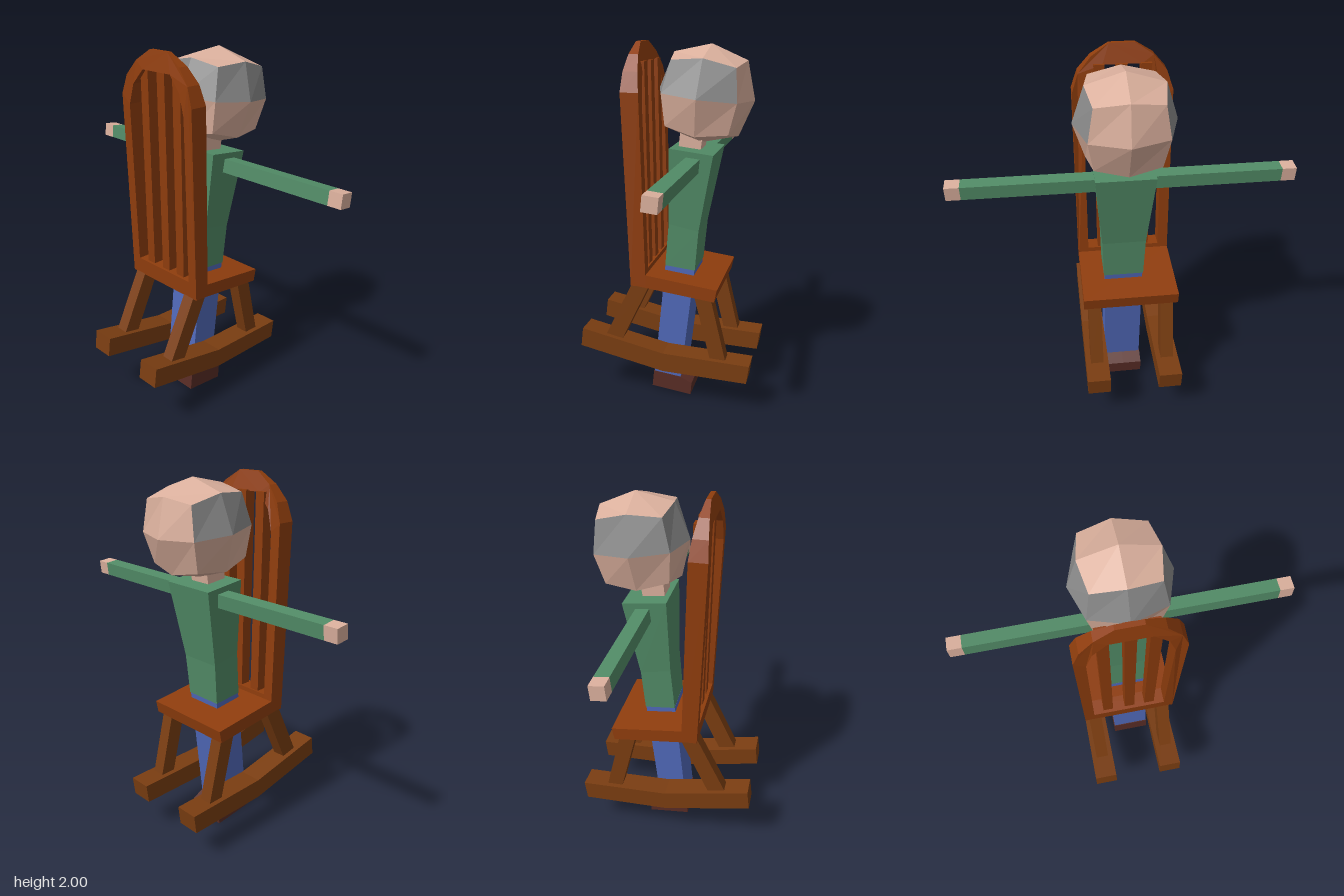
import * as THREE from 'three';

const paint = (name, color) => Object.assign(new THREE.MeshStandardMaterial({ color, flatShading: true }), { name });

export function createModel() {
  const wood = paint('chair wood', 0x8f3d0d);
  const darkWood = paint('leg wood', 0x7a3d11);
  const green = paint('shirt green', 0x528c67);
  const blue = paint('trouser blue', 0x5068b8);
  const leather = paint('shoe brown', 0x582c25);
  const skin = paint('skin', 0xdbb09d);
  const grey = paint('hair grey', 0x8a8a8a);

  const model = new THREE.Group();
  model.name = 'figureWithRockingChair';
  const chair = new THREE.Group();
  chair.name = 'rockingChair';
  const figure = new THREE.Group();
  figure.name = 'figure';
  model.add(chair, figure);

  const add = (parent, name, geometry, material) => {
    const mesh = new THREE.Mesh(geometry, material);
    mesh.name = name;
    parent.add(mesh);
    return mesh;
  };
  // Side profile given as [z, y] points, stretched from x0 to x1
  const slab = (parent, name, profile, x0, x1, material) => {
    const shape = new THREE.Shape(profile.map(([z, y]) => new THREE.Vector2(-z, y)));
    const g = new THREE.ExtrudeGeometry(shape, { depth: x1 - x0, bevelEnabled: false });
    return add(parent, name, g.rotateY(Math.PI / 2).translate(x0, 0, 0), material);
  };

  // ---- Chair ----
  const cx = -0.027; // chair centre line
  slab(chair, 'seat', [[0.18, 0.72], [-0.286, 0.67], [-0.3, 0.74], [0.1, 0.785], [0.175, 0.79]], cx - 0.262, cx + 0.262, wood);

  // Arched back frame: outline with one opening
  const arch = (half) => [...half, ...half.map(([x, y]) => [-x, y]).reverse()].map(([x, y]) => new THREE.Vector2(x + cx, y));
  const frame = new THREE.Shape(arch([[0.262, 0.716], [0.262, 1.76], [0.228, 1.86], [0.16, 1.94], [0.066, 2]]));
  frame.holes.push(new THREE.Path(arch([[0.205, 0.81], [0.205, 1.71], [0.173, 1.82], [0.102, 1.9]])));
  const back = new THREE.ExtrudeGeometry(frame, { depth: 1, bevelEnabled: false });
  // Lean the frame backwards and thin it towards the top
  const p = back.attributes.position;
  const heights = [0.716, 1.76, 1.9, 2];
  const nearZ = [0.094, 0.12, 0.137, 0.165];
  const farZ = [0.18, 0.217, 0.208, 0.19];
  for (let i = 0; i < p.count; i++) {
    const y = p.getY(i);
    const k = y <= heights[1] ? 0 : y <= heights[2] ? 1 : 2;
    const t = (y - heights[k]) / (heights[k + 1] - heights[k]);
    const a = THREE.MathUtils.lerp(nearZ[k], nearZ[k + 1], t);
    const b = THREE.MathUtils.lerp(farZ[k], farZ[k + 1], t);
    p.setZ(i, THREE.MathUtils.lerp(a, b, p.getZ(i)));
  }
  back.computeVertexNormals();
  add(chair, 'backFrame', back, wood);
  for (const x of [-0.12, 0.005, 0.12])
    slab(chair, 'backSlat', [[0.165, 0.76], [0.105, 0.76], [0.122, 1.905], [0.185, 1.905]], x + cx - 0.028, x + cx + 0.028, wood);

  // Rockers and legs, one set on each side
  for (const s of [-1, 1]) {
    const x = cx + s * 0.202;
    slab(chair, 'rocker', [[0.474, 0.418], [0.488, 0.308], [0, 0.213], [-0.475, 0.206], [-0.488, 0.313], [0, 0.324]], x - 0.064, x + 0.064, darkWood);
    slab(chair, 'backLeg', [[0.175, 0.73], [0.08, 0.72], [0.25, 0.36], [0.345, 0.38]], x - 0.036, x + 0.036, darkWood);
    slab(chair, 'frontLeg', [[-0.17, 0.69], [-0.26, 0.69], [-0.352, 0.31], [-0.265, 0.31]], x - 0.036, x + 0.036, darkWood);
  }

  // ---- Figure, leaning slightly and facing -z ----
  for (const s of [-1, 1]) {
    const [x0, x1] = s < 0 ? [-0.106, 0] : [0, 0.106];
    slab(figure, 'leg', [[0.087, 0.115], [-0.07, 0.1], [-0.148, 0.795], [0.018, 0.81]], x0, x1, blue);
    slab(figure, 'shoe', [[0.1, 0.028], [0.09, 0.127], [-0.07, 0.11], [-0.138, 0.078], [-0.132, 0.003]], x0 * 1.03, x1 * 1.03, leather);
  }

  // Torso: three sections, each [half width, z and y at +z side, z and y at -z side]
  const sections = [
    [0.11, 0.018, 0.805, -0.15, 0.79],
    [0.118, -0.004, 1.05, -0.17, 1.02],
    [0.155, -0.016, 1.472, -0.25, 1.447],
  ];
  const torso = new THREE.BoxGeometry(2, 2, 2, 1, 2, 1).toNonIndexed();
  const tp = torso.attributes.position;
  for (let i = 0; i < tp.count; i++) {
    const [hw, z0, y0, z1, y1] = sections[Math.round(tp.getY(i)) + 1];
    const rear = tp.getZ(i) > 0;
    tp.setXYZ(i, tp.getX(i) * hw, rear ? y0 : y1, rear ? z0 : z1);
  }
  torso.computeVertexNormals();
  add(figure, 'torso', torso, green);

  // Outstretched arms and hands
  const lean = -0.1;
  for (const s of [-1, 1]) {
    const arm = add(figure, 'arm', new THREE.BoxGeometry(0.74, 0.074, 0.074), green);
    arm.position.set(s * 0.45, 1.39, -0.139);
    arm.rotation.x = lean;
    const hand = add(figure, 'hand', new THREE.BoxGeometry(0.075, 0.074, 0.074), skin);
    hand.position.set(s * 0.8575, 1.39, -0.139);
    hand.rotation.x = lean;
  }
  slab(figure, 'neck', [[-0.042, 1.44], [-0.16, 1.43], [-0.178, 1.56], [-0.055, 1.57]], -0.063, 0.063, skin);

  // Head: subdivided cube rounded by pulling in edges and corners
  const head = new THREE.BoxGeometry(2, 2, 2, 2, 2, 2).toNonIndexed();
  const hp = head.attributes.position;
  for (let i = 0; i < hp.count; i++) {
    const v = new THREE.Vector3().fromBufferAttribute(hp, i);
    const n = Math.round(Math.abs(v.x) + Math.abs(v.y) + Math.abs(v.z));
    v.multiplyScalar(0.255 * [0, 1, 0.76, 0.65][n]);
    hp.setXYZ(i, v.x, v.y, v.z);
  }
  head.computeVertexNormals();
  // Hair covers the upper half of both sides and of the back of the head
  head.clearGroups();
  for (let f = 0; f < 6; f++) {
    const hair = f === 0 || f === 1 || f === 4;
    head.addGroup(f * 24, 12, hair ? 1 : 0);
    head.addGroup(f * 24 + 12, 12, 0);
  }
  const headMesh = add(figure, 'head', head, [skin, grey]);
  headMesh.position.set(0, 1.738, -0.178);
  headMesh.rotation.x = lean;

  return model;
}
